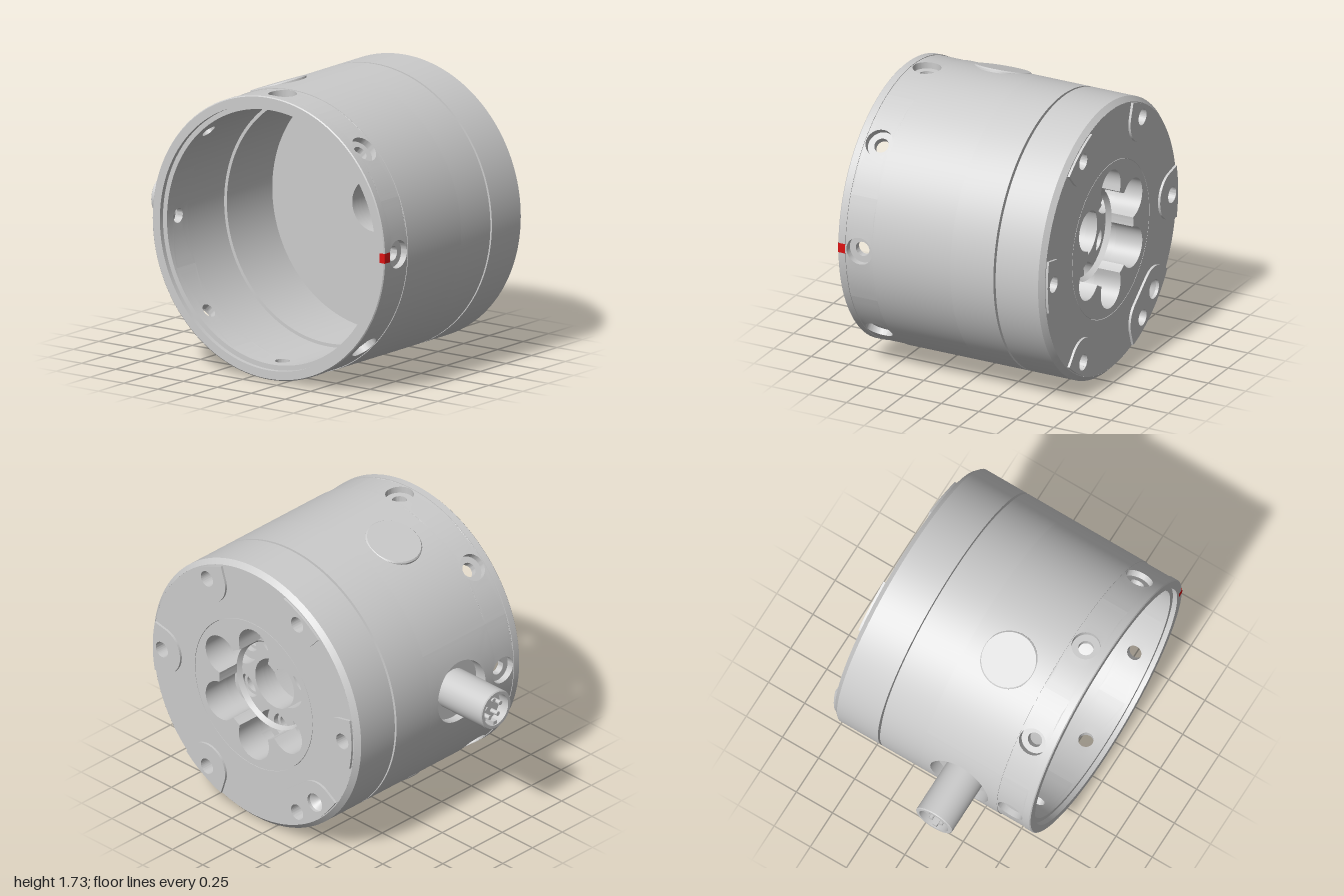
import * as THREE from 'three';
import { toCreasedNormals } from 'three/addons/utils/BufferGeometryUtils.js';

const grey = new THREE.MeshStandardMaterial({ color: 0xcccccc, side: THREE.DoubleSide });
const red = new THREE.MeshStandardMaterial({ color: 0xdd1111, side: THREE.DoubleSide });
const TAU = Math.PI * 2, SEG = 128;
const R = 0.857, BAND = 0.853, INNER = 0.77;

function mesh(name, geometry, material = grey) {
  const m = new THREE.Mesh(toCreasedNormals(geometry, 0.5), material);
  m.name = name;
  return m;
}

// Turned surface; profile points are [position on axis, radius]
function turned(points, segments = SEG, start = 0, length = TAU) {
  return new THREE.LatheGeometry(points.map(([a, r]) => new THREE.Vector2(r, a)), segments, start, length);
}
const alongX = (...args) => turned(...args).rotateZ(-Math.PI / 2);
const alongZ = (...args) => turned(...args).rotateX(Math.PI / 2);

// Skin between closed loops with equal point counts, from inside to outside
function loft(loops) {
  const n = loops[0].length, index = [];
  for (let i = 0; i < loops.length - 1; i++) {
    for (let j = 0; j < n; j++) {
      const a = i * n + j, b = i * n + (j + 1) % n;
      index.push(a, a + n, b + n, a, b + n, b);
    }
  }
  const g = new THREE.BufferGeometry();
  g.setAttribute('position', new THREE.Float32BufferAttribute(loops.flat(2), 3));
  g.setIndex(index);
  return g;
}

// One 45 degree wall sector pierced by a round hole; z points radially out
const SIDE = 16, COUNT = SIDE * 4;
function onWall(radius, halfWidth, holeR, k) { // k = 0 at the hole, 1 at the sector border
  return Array.from({ length: COUNT }, (_, j) => {
    const s = Math.floor(j / SIDE), f = (j % SIDE) / SIDE * 2 - 1;
    const [bx, by] = [[1, f], [-f, 1], [-1, -f], [f, -1]][s];
    const a = (j / COUNT) * TAU - Math.PI / 4;
    const x = THREE.MathUtils.lerp(holeR * Math.cos(a), bx * halfWidth, k);
    const phi = THREE.MathUtils.lerp(Math.asin(holeR * Math.sin(a) / radius), by * Math.PI / 8, k);
    return [x, radius * Math.sin(phi), radius * Math.cos(phi)];
  });
}
function flatRing(r, h) {
  return Array.from({ length: COUNT }, (_, j) => {
    const a = (j / COUNT) * TAU - Math.PI / 4;
    return [r * Math.cos(a), r * Math.sin(a), h];
  });
}
const STEPS = [0, 0.2, 0.4, 0.6, 0.8, 1];
const wallLoops = (radius, halfWidth, r) => STEPS.map(k => onWall(radius, halfWidth, r, k));

// Flat plate facing +x between x0 and x1
function plate(shape, x0, x1, turn = 0) {
  return new THREE.ExtrudeGeometry(shape, { depth: x1 - x0, bevelEnabled: false, curveSegments: 40 })
    .rotateZ(turn).rotateY(Math.PI / 2).translate(x0, 0, 0);
}
function disc(r, holes = []) {
  const s = new THREE.Shape().absarc(0, 0, r, 0, TAU);
  s.holes.push(...holes);
  return s;
}
function hole(r, dist = 0, angle = 0) {
  return new THREE.Path().absarc(dist * Math.cos(angle), dist * Math.sin(angle), r, 0, TAU, true);
}
const six = fn => Array.from({ length: 6 }, (_, i) => fn(i * Math.PI / 3));

// Raised screw pad open to the rim; span widens it to hold a second hole
const PAD = 0.745, EXTRA = Math.PI / 12;
function padShape(span) {
  const s = new THREE.Shape(), flare = 0.203, a = 1.75, mid = span / 2 + Math.PI;
  s.absarc(0, 0, 0.82, -flare, span + flare);
  s.absarc(PAD * Math.cos(span), PAD * Math.sin(span), 0.15, span + a, mid);
  s.absarc(PAD, 0, 0.15, mid, TAU - a);
  s.holes.push(hole(0.05, PAD));
  if (span) s.holes.push(hole(0.06, 0.733, span));
  return s;
}

// Central bore merged with six round lobes
function scallop() {
  const d = 0.315, a = 0.125, pts = [];
  for (let i = 0; i < 240; i++) {
    const phi = -i / 240 * TAU;
    const delta = ((phi + 2 * TAU) % (Math.PI / 3)) - Math.PI / 6;
    const q = a * a - (d * Math.sin(delta)) ** 2;
    const r = q > 0 ? Math.max(0.285, d * Math.cos(delta) + Math.sqrt(q)) : 0.285;
    pts.push(new THREE.Vector2(r * Math.cos(phi), r * Math.sin(phi)));
  }
  return new THREE.Path(pts);
}

export function createModel() {
  const model = new THREE.Group();
  model.name = 'flangedHousing';
  const body = new THREE.Group();
  body.name = 'body';
  body.position.set(0, 0.866, 0.143);
  model.add(body);

  // Open rear rim with stepped lip, and its alignment mark
  body.add(mesh('rearRim', alongX([[-0.64, INNER], [-0.66, INNER], [-0.66, 0.8], [-0.69, 0.8],
    [-0.69, 0.851], [-0.684, R], [-0.64, R], [-0.64, BAND]])));
  body.add(mesh('alignmentMark', alongX([[-0.691, 0.82], [-0.691, 0.855], [-0.686, 0.859], [-0.64, 0.859]],
    6, -0.035, 0.07), red));

  // Mounting band with eight counterbored radial holes
  for (let i = 0; i < 8; i++) {
    const sector = mesh('mountingHole', loft([
      ...wallLoops(INNER, 0.09, 0.045).reverse(),
      flatRing(0.045, 0.81), flatRing(0.085, 0.81),
      ...wallLoops(BAND, 0.09, 0.085),
    ]));
    sector.position.x = -0.55;
    sector.rotation.x = i * Math.PI / 4;
    body.add(sector);
  }

  // Main shell, leaving out the sector for the connector recess
  body.add(mesh('shellStep', alongX([[-0.46, BAND], [-0.46, R]])));
  body.add(mesh('rearShell', alongX([[-0.46, R], [0.06, R]], 112, Math.PI * 1.125, Math.PI * 1.75)));
  body.add(mesh('frontShell', alongX([[0.06, R], [0.347, R], [0.347, 0.82], [0.362, 0.82],
    [0.362, R], [0.645, R], [0.675, 0.827]])));
  body.add(mesh('innerWall', alongX([[0.345, 0.75], [-0.1, 0.75], [-0.1, INNER], [-0.46, INNER]])));

  // Connector in its round recess at the back
  const connector = new THREE.Group();
  connector.name = 'connector';
  connector.position.x = -0.2;
  connector.rotation.x = Math.PI;
  connector.add(mesh('connectorRecess', loft([
    flatRing(0.12, 0.78), flatRing(0.2, 0.78), ...wallLoops(R, 0.26, 0.2)])));
  connector.add(mesh('connectorSocket', alongZ([[0.77, 0.125], [1.137, 0.125], [1.143, 0.119],
    [1.143, 0.1], [1.07, 0.1], [1.07, 0]], 48)));
  for (let i = 0; i < 5; i++) {
    const a = (i + 0.5) / 5 * TAU + Math.PI / 2;
    const pin = mesh('connectorPin', new THREE.CylinderGeometry(0.014, 0.014, 0.06, 12).rotateX(Math.PI / 2));
    pin.position.set(0.058 * Math.cos(a), 0.058 * Math.sin(a), 1.095);
    connector.add(pin);
  }
  const key = mesh('connectorKey', new THREE.BoxGeometry(0.03, 0.025, 0.07));
  key.position.set(0, 0.09, 1.1);
  connector.add(key);
  body.add(connector);

  // Flat round covers above and below
  for (const side of [-1, 1]) {
    const cap = mesh('cover', alongZ([[0.79, 0.173], [0.852, 0.173], [0.86, 0.165], [0.86, 0]], 64));
    cap.position.x = -0.2;
    cap.rotation.x = side * (Math.PI / 2 + 0.356);
    body.add(cap);
  }

  // Front flange with blind screw holes and raised pads
  const extraAngle = -Math.PI / 3 + EXTRA;
  body.add(mesh('flangeBack', plate(disc(0.8, [hole(0.16)]), 0.345, 0.36)));
  body.add(mesh('flangeFace', plate(disc(0.827, [hole(0.487), hole(0.06, 0.733, extraAngle),
    ...six(a => hole(0.05, PAD, a))]), 0.5, 0.675)));
  body.add(mesh('flangeFloor', plate(disc(0.8, [hole(0.487)]), 0.36, 0.5)));
  six(a => a).forEach((a, i) =>
    body.add(mesh('screwPad', plate(padShape(i === 5 ? EXTRA : 0), 0.675, 0.69, a))));

  // Conical bottom of the extra hole
  const cone = mesh('locatingHoleCone', alongX([[0.6, 0], [0.67, 0.06]], 32));
  cone.position.set(0, 0.733 * Math.sin(extraAngle), -0.733 * Math.cos(extraAngle));
  body.add(cone);

  // Hub layers: scalloped opening, lobe pockets, then stepped screw holes
  const lobes = r => six(a => hole(r, 0.315, a + Math.PI / 6));
  body.add(mesh('hubOpening', plate(disc(0.484, [scallop()]), 0.5, 0.675)));
  [[0.125, 0.43, 0.5], [0.075, 0.395, 0.43], [0.055, 0.36, 0.395]].forEach(([r, x0, x1]) =>
    body.add(mesh('hubPockets', plate(disc(0.484, [hole(0.16), ...lobes(r)]), x0, x1))));
  body.add(mesh('boreChamfer', alongX([[0.5, 0.268], [0.53, 0.286]], 96)));

  return model;
}
